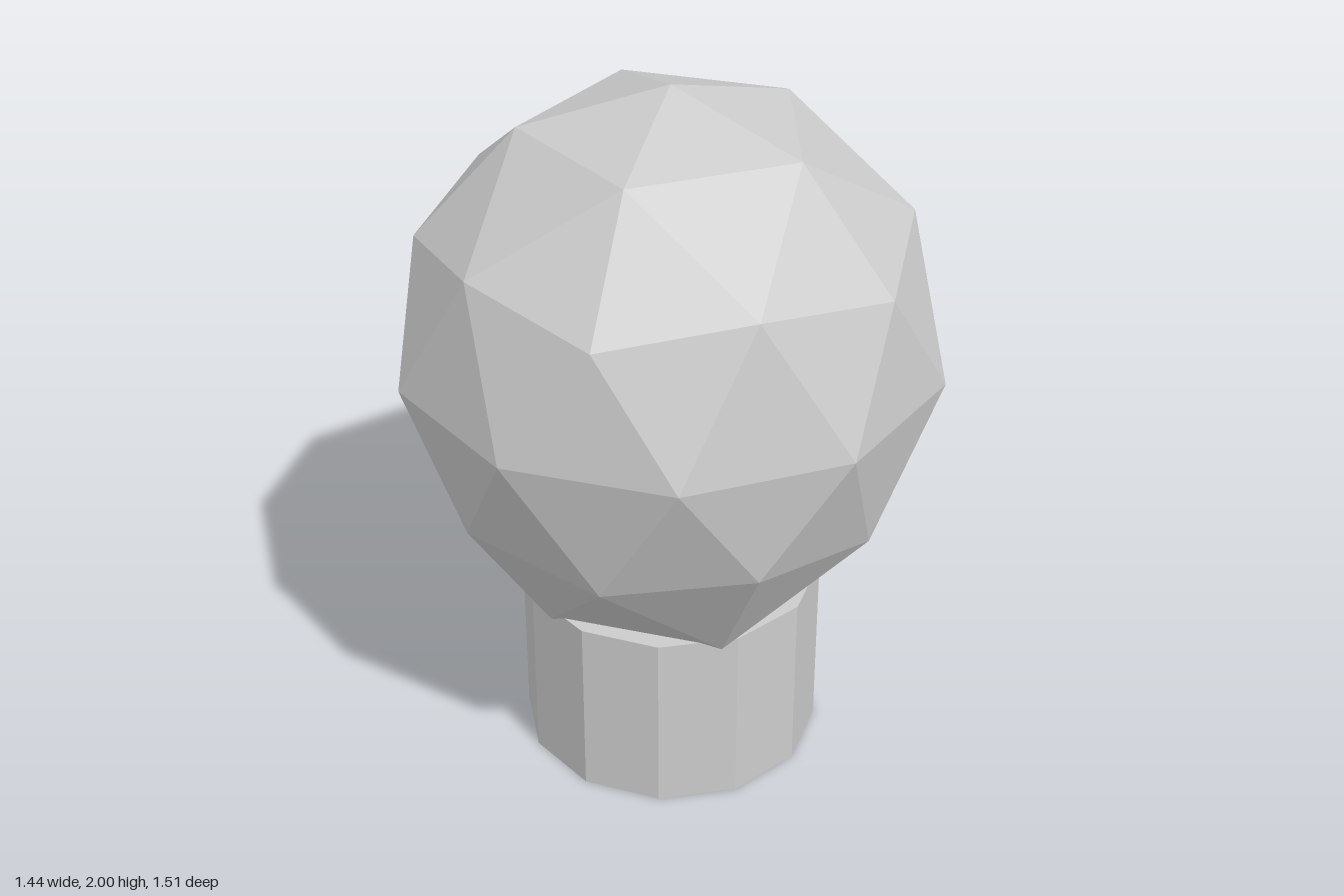
import * as THREE from 'three';

const R = 0.755;        // bulb radius
const CENTRE_Y = 1.245; // bulb centre height
const RIM_Y = 0.51;     // height of the bulb's drawn-down lower rim
const BASE_R = 0.43, BASE_H = 0.54;

// Faceted ball with a vertex at the top; its lowest ring is pulled down into the base
function bulbGeometry() {
  const geo = new THREE.IcosahedronGeometry(R, 1);
  geo.rotateZ(-Math.atan(2 / (1 + Math.sqrt(5))));
  const p = geo.attributes.position;
  for (let i = 0; i < p.count; i++) {
    if (p.getY(i) < -0.8 * R) {
      p.setXYZ(i, p.getX(i) * 1.06, RIM_Y - CENTRE_Y, p.getZ(i) * 1.06);
    }
  }
  geo.translate(0, CENTRE_Y, 0);
  geo.computeVertexNormals();
  return geo;
}

export function createModel() {
  const group = new THREE.Group();
  const material = new THREE.MeshStandardMaterial({ color: 0xcccccc, flatShading: true });

  const bulb = new THREE.Mesh(bulbGeometry(), material);
  bulb.name = 'bulb';

  // Twelve-sided stem
  const base = new THREE.Mesh(new THREE.CylinderGeometry(BASE_R, BASE_R, BASE_H, 12), material);
  base.name = 'base';
  base.position.y = BASE_H / 2;

  group.add(bulb, base);
  return group;
}
